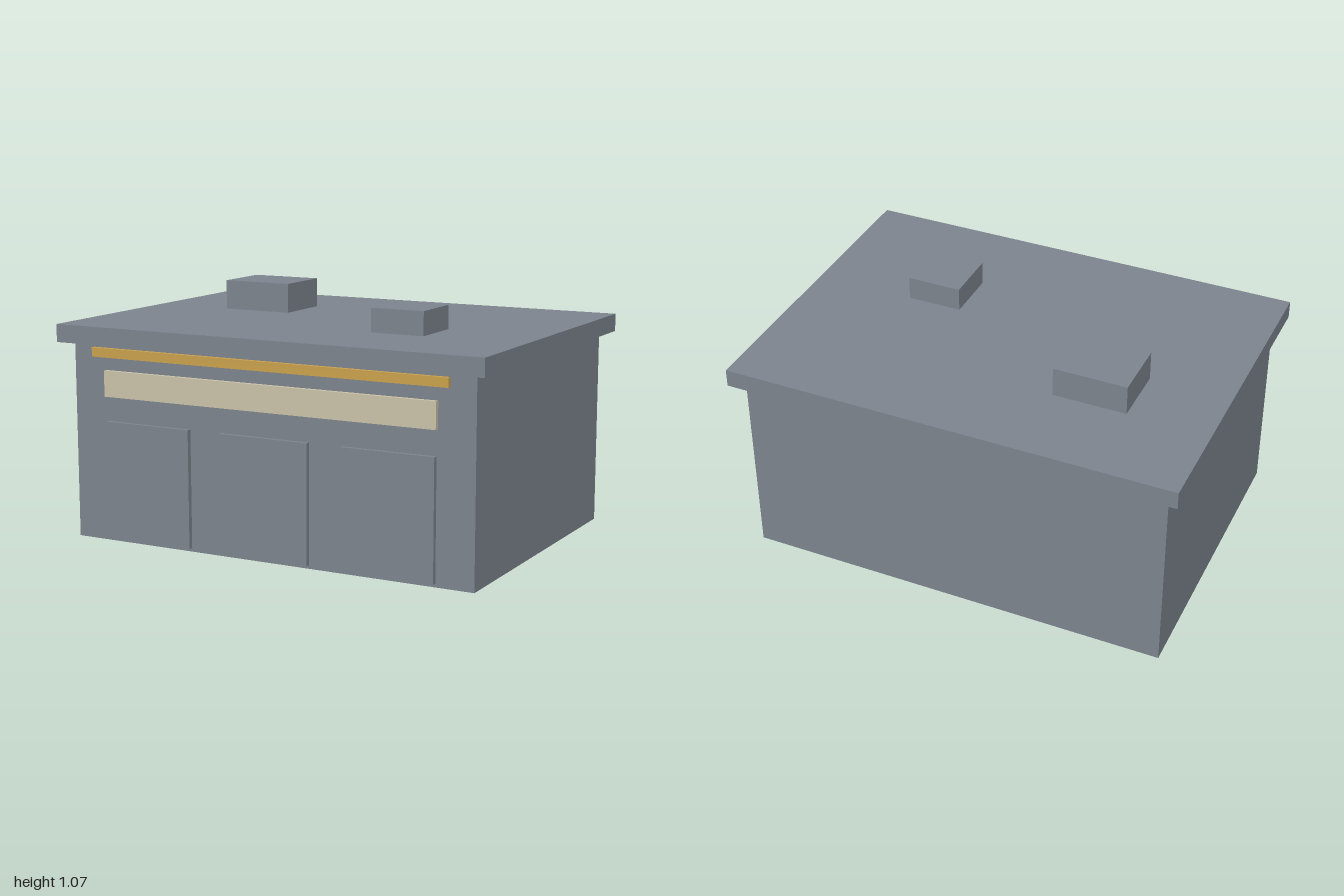
import * as THREE from 'three';

export function createModel() {
  const group = new THREE.Group();
  group.name = 'garageBuilding';

  const material = (name, color) => {
    const m = new THREE.MeshStandardMaterial({ color });
    m.name = name;
    return m;
  };
  const grey = material('slateGrey', 0x7c838d);
  const cream = material('creamSign', 0xc8c0a6);
  const amber = material('amberLight', 0xc9a04c);

  // Box given by its extents along each axis
  const box = (name, mat, [x0, x1], [y0, y1], [z0, z1]) => {
    const mesh = new THREE.Mesh(new THREE.BoxGeometry(x1 - x0, y1 - y0, z1 - z0), mat);
    mesh.position.set((x0 + x1) / 2, (y0 + y1) / 2, (z0 + z1) / 2);
    mesh.name = name;
    group.add(mesh);
  };

  const wallZ = 0.674;
  const roofTop = 0.94;

  // Main hall and overhanging flat roof
  box('walls', grey, [-0.945, 0.945], [0, 0.862], [-wallZ, wallZ]);
  box('roofSlab', grey, [-1, 1], [0.862, roofTop], [-0.73, 0.73]);

  // Three bay doors
  ['rightDoor', 'middleDoor', 'leftDoor'].forEach((name, i) => {
    const x = (i - 1) * 0.569;
    box(name, grey, [x - 0.208, x + 0.208], [0.016, 0.528], [wallZ, 0.695]);
  });

  // Blank sign board and light strip mounted under the eaves
  box('signBoard', cream, [-0.782, 0.782], [0.636, 0.749], [wallZ, 0.695]);
  box('lightStrip', amber, [-0.837, 0.837], [0.807, 0.847], [0.683, 0.703]);

  // Rooftop units
  box('largeRoofUnit', grey, [-0.637, -0.313], [roofTop, 1.07], [-0.337, -0.068]);
  box('smallRoofUnit', grey, [0.308, 0.55], [roofTop, 1.043], [0.082, 0.324]);

  return group;
}
